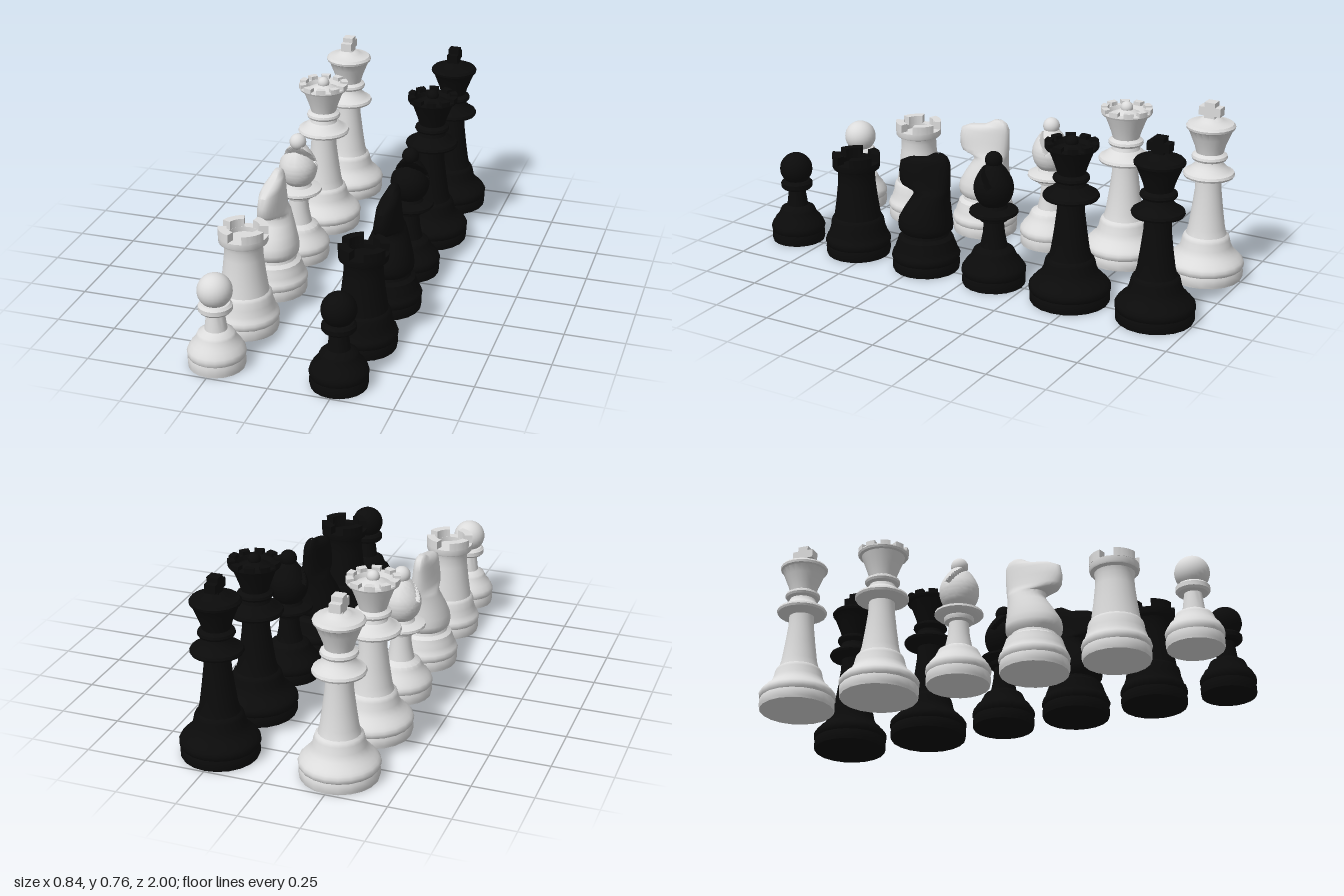
import * as THREE from 'three';
import { toCreasedNormals } from 'three/addons/utils/BufferGeometryUtils.js';

const SIDES = 20;
const crease = (g) => toCreasedNormals(g, 0.65);
const vecs = (pts) => pts.map(([r, y]) => new THREE.Vector2(r, y));
const lathe = (pts, sides = SIDES) => crease(new THREE.LatheGeometry(vecs(pts), sides));
const ball = (r, y) => new THREE.SphereGeometry(r, 24, 16).translate(0, y, 0);

// Rounded foot shared by all pieces
const foot = (R) => [[0, 0], [R * 0.96, 0], [R * 0.98, 0.01], [R * 0.98, 0.035], [R * 0.96, 0.045],
  [R * 0.99, 0.052], [R, 0.065], [R * 0.97, 0.077], [R * 0.92, 0.085]];

// Ring of upright blocks with gaps between them
function ringBlocks(count, inner, outer, gap, y, h, turn) {
  const step = (Math.PI * 2) / count, out = [];
  for (let i = 0; i < count; i++) {
    const a = i * step + turn + gap / 2, b = a + step - gap;
    const s = new THREE.Shape();
    s.absarc(0, 0, outer, a, b, false);
    s.absarc(0, 0, inner, b, a, true);
    const g = new THREE.ExtrudeGeometry(s, { depth: h, bevelEnabled: false, curveSegments: 6 });
    out.push(crease(g.rotateX(-Math.PI / 2).translate(0, y, 0)));
  }
  return out;
}

// Convex solid cut by a plane: points beyond it slide back toward an inner point
function cut(geo, n, d, inside) {
  const g = geo.clone(), p = g.attributes.position, v = new THREE.Vector3();
  for (let i = 0; i < p.count; i++) {
    v.fromBufferAttribute(p, i);
    const dist = n.dot(v);
    if (dist > d) {
      const c = n.dot(inside);
      v.sub(inside).multiplyScalar((d - c) / (dist - c)).add(inside);
      p.setXYZ(i, v.x, v.y, v.z);
    }
  }
  return crease(g);
}

function pawn() {
  return {
    body: [lathe([...foot(0.117), [0.1, 0.1], [0.085, 0.115], [0.077, 0.135], [0.072, 0.145], [0.05, 0.157],
      [0.045, 0.16], [0.035, 0.235], [0.06, 0.236], [0.068, 0.245], [0.068, 0.263], [0.058, 0.273],
      [0.035, 0.276], [0.035, 0.3]])],
    head: [ball(0.07, 0.325)],
  };
}

function rook() {
  return {
    body: [lathe([...foot(0.141), [0.125, 0.1], [0.116, 0.125], [0.112, 0.155], [0.106, 0.165], [0.1, 0.17],
      [0.088, 0.25], [0.08, 0.32], [0.078, 0.36], [0.083, 0.38], [0.098, 0.386], [0.101, 0.392],
      [0.101, 0.415], [0.066, 0.415], [0.066, 0.395], [0, 0.395]])],
    battlement: ringBlocks(4, 0.066, 0.101, 0.58, 0.414, 0.036, 0),
  };
}

// Horse: horizontal sections as [y, front z, back z, half width], top to bottom
const HORSE = [[0.52, -0.068, -0.07, 0.001], [0.519, -0.048, -0.09, 0.012], [0.508, -0.03, -0.108, 0.02],
  [0.492, 0.0, -0.116, 0.028], [0.48, 0.078, -0.12, 0.035], [0.462, 0.115, -0.121, 0.04],
  [0.42, 0.123, -0.12, 0.046], [0.38, 0.119, -0.117, 0.053], [0.364, 0.107, -0.115, 0.057],
  [0.35, 0.05, -0.112, 0.064], [0.335, 0.045, -0.11, 0.069], [0.31, 0.06, -0.108, 0.079],
  [0.27, 0.087, -0.11, 0.093], [0.23, 0.11, -0.113, 0.105], [0.2, 0.116, -0.116, 0.109],
  [0.178, 0.112, -0.114, 0.106], [0.16, 0.09, -0.09, 0.09]];

function knight() {
  const n = 28;
  const g = new THREE.CylinderGeometry(1, 1, 1, n, HORSE.length - 1, true), p = g.attributes.position;
  for (let i = 0; i < p.count; i++) {
    const [y, f, b, w] = HORSE[Math.floor(i / (n + 1))];
    const s = p.getX(i), c = p.getZ(i);
    p.setXYZ(i, w * Math.sign(s) * Math.abs(s) ** 0.9, y, (f + b) / 2 + (c * (f - b)) / 2);
  }
  return {
    base: [lathe([...foot(0.145), [0.13, 0.1], [0.122, 0.12], [0.116, 0.14], [0.098, 0.152], [0.094, 0.165], [0, 0.165]])],
    horse: [toCreasedNormals(g, 0.9)],
  };
}

function bishop() {
  const curve = new THREE.SplineCurve(vecs([[0.045, 0.34], [0.07, 0.37], [0.082, 0.41], [0.077, 0.45],
    [0.053, 0.495], [0.028, 0.525]]));
  const pts = [[0, 0.34], [0.022, 0.34], ...curve.getPoints(28).map((q) => [q.x, q.y]), [0.014, 0.525], [0, 0.525]];
  const head = new THREE.LatheGeometry(vecs(pts), 48);
  // Slanting slot left open between three cut pieces of the head
  const n = new THREE.Vector3(0, 0.6, -0.8), e = new THREE.Vector3(0, 0.8, 0.6);
  return {
    body: [lathe([...foot(0.135), [0.115, 0.1], [0.1, 0.115], [0.09, 0.135], [0.083, 0.15], [0.065, 0.16],
      [0.057, 0.165], [0.046, 0.22], [0.041, 0.275], [0.058, 0.28], [0.062, 0.29], [0.062, 0.298],
      [0.09, 0.303], [0.102, 0.313], [0.1, 0.323], [0.08, 0.33], [0.058, 0.335], [0.05, 0.35], [0, 0.35]])],
    mitre: [
      cut(head, n, 0.267, new THREE.Vector3(0, 0.41, 0.03)),
      cut(head, n.clone().negate(), -0.289, new THREE.Vector3(0, 0.44, -0.05)),
      cut(head, e, 0.336, new THREE.Vector3(0, 0.375, -0.02)),
    ],
    finial: [ball(0.036, 0.537)],
  };
}

// Foot, stem and collars shared by queen and king
const tallStem = (R, collar) => [...foot(R), [R * 0.84, 0.1], [R * 0.73, 0.115], [R * 0.65, 0.14], [R * 0.61, 0.17],
  [R * 0.58, 0.183], [R * 0.52, 0.19], [R * 0.47, 0.22], [R * 0.4, 0.3], [R * 0.34, 0.38], [R * 0.33, 0.43],
  [collar * 0.7, 0.434], [collar * 0.96, 0.443], [collar, 0.452], [collar * 0.96, 0.462], [collar * 0.78, 0.47],
  [collar * 0.66, 0.485], [0.06, 0.495], [0.055, 0.51], [0.07, 0.516], [0.075, 0.525], [0.072, 0.535], [0.056, 0.545]];

function queen() {
  return {
    body: [lathe([...tallStem(0.168, 0.115), [0.065, 0.575], [0.08, 0.615], [0.092, 0.645], [0.104, 0.648],
      [0.108, 0.656], [0.106, 0.662], [0.08, 0.662], [0.072, 0.645], [0.05, 0.655], [0.025, 0.668], [0, 0.67]])],
    crownPoints: ringBlocks(10, 0.08, 0.108, 0.24, 0.656, 0.022, 0.2),
    crownBall: [ball(0.026, 0.676)],
  };
}

function king() {
  const box = (x, y, z, cy) => new THREE.BoxGeometry(x, y, z).translate(0, cy, 0);
  return {
    body: [lathe([...tallStem(0.162, 0.107), [0.064, 0.575], [0.08, 0.615], [0.092, 0.645], [0.1, 0.65],
      [0.102, 0.66], [0.094, 0.67], [0.07, 0.675], [0.05, 0.683], [0.035, 0.693], [0, 0.696]])],
    cross: [box(0.046, 0.08, 0.046, 0.72), box(0.046, 0.036, 0.094, 0.722)],
  };
}

export function createModel() {
  const root = new THREE.Group();
  const white = new THREE.MeshStandardMaterial({ color: 0xdcdcdc });
  white.name = 'white';
  const black = new THREE.MeshStandardMaterial({ color: 0x0b0b0b });
  black.name = 'black';
  const pieces = [['pawn', pawn(), 0.883], ['rook', rook(), 0.566], ['knight', knight(), 0.222],
    ['bishop', bishop(), -0.107], ['queen', queen(), -0.46], ['king', king(), -0.838]];

  // One row of pieces per colour
  for (const [mat, x] of [[white, -0.25], [black, 0.25]]) {
    for (const [name, parts, z] of pieces) {
      const piece = new THREE.Group();
      piece.name = `${mat.name} ${name}`;
      piece.position.set(x, 0, z);
      for (const [part, geos] of Object.entries(parts)) {
        for (const geo of geos) {
          const mesh = new THREE.Mesh(geo, mat);
          mesh.name = part;
          piece.add(mesh);
        }
      }
      root.add(piece);
    }
  }
  return root;
}
